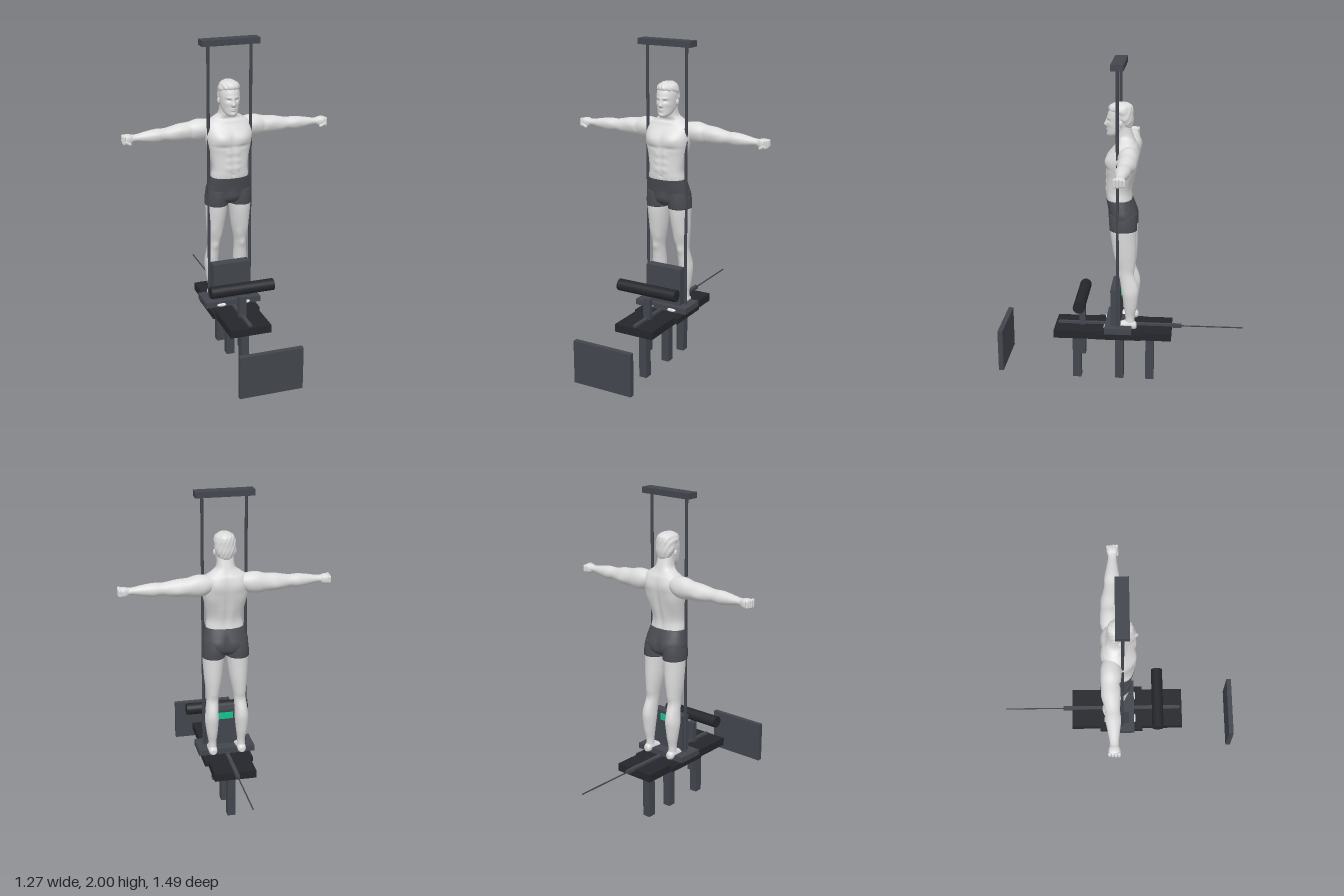
import * as THREE from 'three';

const mat = (name, color) => Object.assign(new THREE.MeshStandardMaterial({ color }), { name });

// Smooth interpolation through rows of numbers
function resample(rows, sub) {
  const out = [];
  const at = i => rows[Math.max(0, Math.min(rows.length - 1, i))];
  for (let i = 0; i < rows.length - 1; i++) {
    const [a, b, c, d] = [at(i - 1), at(i), at(i + 1), at(i + 2)];
    for (let s = 0; s < sub; s++) {
      const t = s / sub;
      out.push(b.map((v, k) => v + 0.5 * t * (c[k] - a[k] + t * (2 * a[k] - 5 * v + 4 * c[k] - d[k] + t * (3 * (v - c[k]) + d[k] - a[k])))));
    }
  }
  out.push(at(rows.length - 1));
  return out;
}

// Closed loft: rows are [along, centre u, centre z, radius u, radius z]
function loft(rows, { axis = 'y', n = 32, sub = 6, power = 2, bumps = [] } = {}) {
  const rings = resample(rows, sub), pos = [], idx = [];
  const put = (t, u, v) => axis === 'y' ? pos.push(u, t, v) : pos.push(t, u, v);
  const bend = v => Math.sign(v) * Math.abs(v) ** (2 / power);
  for (const [t, u, v, ru, rv] of rings) {
    for (let i = 0; i < n; i++) {
      const a = i / n * Math.PI * 2, s = bend(Math.sin(a)), c = bend(Math.cos(a));
      put(t, u + ru * s * (axis === 'y' ? 1 : -1), v + rv * c);
    }
  }
  const last = rings.length - 1;
  for (const e of [rings[0], rings[last]]) put(e[0], e[1], e[2]);
  for (let i = 0; i < n; i++) {
    const j = (i + 1) % n;
    for (let r = 0; r < last; r++) {
      const p = r * n + i, q = r * n + j;
      idx.push(p, q, p + n, q, q + n, p + n);
    }
    idx.push((last + 1) * n, j, i, (last + 1) * n + 1, last * n + i, last * n + j);
  }
  const g = new THREE.BufferGeometry();
  g.setAttribute('position', new THREE.Float32BufferAttribute(pos, 3));
  g.setIndex(idx);
  g.computeVertexNormals();
  swell(g, bumps);
  return g;
}

// Muscle relief: [x, y, side of z, width, height, amount]
function swell(g, bumps) {
  const p = g.attributes.position, nm = g.attributes.normal;
  for (let i = 0; i < p.count; i++) {
    const x = p.getX(i), y = p.getY(i), nz = nm.getZ(i);
    let d = 0;
    for (const [bx, by, side, w, h, amt] of bumps) {
      d += amt * Math.max(0, nz * side) * Math.exp(-(((x - bx) / w) ** 2) - ((y - by) / h) ** 2);
    }
    p.setXYZ(i, x + nm.getX(i) * d, y + nm.getY(i) * d, p.getZ(i) + nz * d);
  }
  g.computeVertexNormals();
}

const both = list => list.flatMap(b => [b, [-b[0], ...b.slice(1)]]);

function mirrored(g) {
  const m = g.clone().scale(-1, 1, 1), a = m.index.array;
  for (let i = 0; i < a.length; i += 3) [a[i], a[i + 1]] = [a[i + 1], a[i]];
  m.computeVertexNormals();
  return m;
}

export function createModel() {
  const model = new THREE.Group();
  const skin = mat('paleSkin', 0xdcdcdc), cloth = mat('greyCloth', 0x4a4c52);
  const metal = mat('greyMetal', 0x42464d), dark = mat('darkPadding', 0x25262b), green = mat('greenDisplay', 0x10c48c);

  const add = (name, g, m, parent = model) => {
    const mesh = new THREE.Mesh(g, m);
    mesh.name = name;
    parent.add(mesh);
    return mesh;
  };
  const pair = (name, g, m, parent) => {
    add('left' + name, g, m, parent);
    add('right' + name, mirrored(g), m, parent);
  };
  // Box from its limits
  const box = (name, m, x0, x1, y0, y1, z0, z1) =>
    add(name, new THREE.BoxGeometry(x1 - x0, y1 - y0, z1 - z0).translate((x0 + x1) / 2, (y0 + y1) / 2, (z0 + z1) / 2), m);

  // Bench, legs and platform
  box('bench', dark, -0.127, 0.127, 0.31, 0.358, -0.31, 0.41);
  box('benchWing', dark, -0.15, 0.15, 0.318, 0.352, -0.125, 0.15);
  for (const z of [0.28, 0.015, -0.175]) box('benchLeg', metal, -0.025, 0.025, 0, 0.31, z - 0.026, z + 0.026);
  box('footPlatform', metal, -0.175, 0.175, 0.365, 0.4, -0.07, 0.095);
  box('uprightPanel', metal, -0.118, 0.118, 0.4, 0.63, 0, 0.06);
  box('display', green, -0.05, 0.05, 0.572, 0.612, -0.008, 0);

  // Central rail with its thin cable
  box('rail', metal, -0.011, 0.011, 0.35, 0.371, -0.37, 0.395);
  box('cable', metal, -0.003, 0.003, 0.357, 0.363, -0.747, -0.37);

  // Roller on its post, and the front plate
  box('rollerPost', metal, -0.022, 0.022, 0.16, 0.49, 0.225, 0.26);
  add('roller', new THREE.CylinderGeometry(0.036, 0.036, 0.394, 32).rotateZ(Math.PI / 2).translate(0, 0.541, 0.243), dark);
  box('frontPlate', metal, -0.19, 0.19, 0.108, 0.366, 0.715, 0.745);

  // Overhead bar on two uprights
  box('topBar', metal, -0.174, 0.174, 1.965, 2, -0.024, 0.051);
  for (const x of [-0.13, 0.13]) {
    add('uprightRod', new THREE.CylinderGeometry(0.009, 0.009, 1.57, 16).translate(x, 1.185, 0.015), metal);
  }

  const figure = new THREE.Group();
  figure.name = 'figure';
  model.add(figure);

  // Torso and neck with chest, abdominal and back relief
  add('torso', loft([
    [1.1, 0, -0.01, 0.115, 0.07], [1.18, 0, 0.012, 0.114, 0.075], [1.24, 0, 0.016, 0.107, 0.075],
    [1.32, 0, 0.005, 0.12, 0.083], [1.4, 0, -0.003, 0.138, 0.094], [1.45, 0, -0.013, 0.142, 0.091],
    [1.5, 0, -0.027, 0.13, 0.07], [1.53, 0, -0.03, 0.092, 0.052], [1.56, 0, -0.02, 0.056, 0.05],
    [1.62, 0, -0.005, 0.05, 0.046],
  ], {
    n: 72, sub: 10, power: 2.3, bumps: [
      ...both([
        [0.062, 1.42, 1, 0.045, 0.035, 0.012], [0.06, 1.375, 1, 0.05, 0.01, -0.005],
        ...[1.335, 1.29, 1.245].map(y => [0.024, y, 1, 0.019, 0.018, 0.006]),
        [0.07, 1.46, -1, 0.04, 0.04, 0.008], [0.09, 1.37, -1, 0.04, 0.06, 0.008],
        [0.03, 1.26, -1, 0.02, 0.08, 0.005], [0.04, 1.515, 1, 0.05, 0.008, 0.005],
      ]),
      [0, 1.4, 1, 0.008, 0.06, -0.006], [0, 1.29, 1, 0.007, 0.08, -0.004], [0, 1.36, -1, 0.012, 0.14, -0.008],
      [0, 1.205, 1, 0.008, 0.008, -0.006],
    ],
  }), skin, figure);

  // Head with face relief
  add('head', loft([
    [1.555, 0, 0.056, 0.02, 0.02], [1.572, 0, 0.038, 0.039, 0.045], [1.6, 0, 0.016, 0.051, 0.068],
    [1.64, 0, 0.01, 0.057, 0.076], [1.68, 0, 0.007, 0.06, 0.076], [1.71, 0, 0.003, 0.057, 0.07],
    [1.735, 0, 0, 0.045, 0.055], [1.748, 0, 0, 0.02, 0.025],
  ], {
    n: 72, sub: 10, bumps: [
      [0, 1.626, 1, 0.011, 0.012, 0.015], [0, 1.645, 1, 0.008, 0.02, 0.009],
      [0, 1.602, 1, 0.018, 0.004, 0.006], [0, 1.593, 1, 0.014, 0.004, 0.006], [0, 1.568, 1, 0.016, 0.01, 0.006],
      ...both([[0.024, 1.652, 1, 0.013, 0.008, -0.009], [0.024, 1.667, 1, 0.016, 0.006, 0.004], [0.038, 1.63, 1, 0.012, 0.012, 0.003]]),
    ],
  }), skin, figure);

  // Swept hair with combed waves
  const hair = loft([
    [1.615, 0, -0.032, 0.042, 0.03], [1.65, 0, -0.022, 0.059, 0.047], [1.69, 0, -0.01, 0.063, 0.058],
    [1.715, 0, 0.003, 0.062, 0.071], [1.738, 0, 0.004, 0.052, 0.065], [1.754, 0, 0.002, 0.028, 0.04],
  ], { n: 64, sub: 8 });
  const hp = hair.attributes.position;
  for (let i = 0; i < hp.count; i++) {
    const k = 1 + 0.025 * Math.sin(hp.getX(i) * 260 + hp.getY(i) * 120);
    hp.setX(i, hp.getX(i) * k);
    hp.setZ(i, hp.getZ(i) * k);
  }
  hair.computeVertexNormals();
  add('hair', hair, skin, figure);
  pair('Ear', new THREE.SphereGeometry(1, 12, 10).scale(0.008, 0.019, 0.012).translate(0.062, 1.64, 0), skin, figure);

  // Arms held out to the sides
  pair('Arm', loft([
    [0.08, 1.47, -0.045, 0.04, 0.045], [0.13, 1.462, -0.05, 0.06, 0.056], [0.18, 1.46, -0.052, 0.064, 0.056],
    [0.23, 1.457, -0.052, 0.054, 0.053], [0.29, 1.455, -0.05, 0.051, 0.05], [0.34, 1.452, -0.045, 0.044, 0.045],
    [0.38, 1.452, -0.042, 0.037, 0.041], [0.43, 1.45, -0.04, 0.04, 0.042], [0.49, 1.45, -0.037, 0.032, 0.034],
    [0.55, 1.45, -0.035, 0.021, 0.025], [0.585, 1.448, -0.035, 0.024, 0.027],
  ], {
    axis: 'x', bumps: [[0.17, 1.475, 1, 0.04, 0.03, 0.006], [0.28, 1.475, 1, 0.04, 0.02, 0.005],
      [0.225, 1.45, 1, 0.012, 0.04, -0.006], [0.29, 1.44, -1, 0.04, 0.02, 0.006], [0.43, 1.465, 1, 0.04, 0.015, 0.004]],
  }), skin, figure);

  // Closed fists
  pair('Fist', loft([
    [0.57, 1.448, -0.035, 0.02, 0.023], [0.59, 1.447, -0.035, 0.028, 0.031], [0.61, 1.446, -0.035, 0.029, 0.033],
    [0.624, 1.446, -0.035, 0.024, 0.029],
  ], { axis: 'x', n: 24, sub: 3, power: 2.8 }), skin, figure);
  for (let i = 0; i < 4; i++) {
    pair('Finger', new THREE.CapsuleGeometry(0.0095, 0.036 - i * 0.003, 4, 10)
      .translate(0.625 - Math.abs(i - 1) * 0.002, 1.447, -0.009 - i * 0.0172), skin, figure);
  }
  pair('Thumb', new THREE.CapsuleGeometry(0.01, 0.03, 4, 10).rotateZ(-1.1).translate(0.605, 1.43, -0.008), skin, figure);

  // Legs
  const legRows = [
    [0.39, 0.09, -0.058, 0.027, 0.03], [0.45, 0.09, -0.057, 0.024, 0.028], [0.52, 0.092, -0.06, 0.034, 0.039],
    [0.6, 0.093, -0.057, 0.042, 0.048], [0.66, 0.09, -0.05, 0.039, 0.05], [0.73, 0.085, -0.037, 0.036, 0.047],
    [0.78, 0.082, -0.033, 0.041, 0.054], [0.86, 0.078, -0.025, 0.053, 0.067], [0.95, 0.075, -0.017, 0.062, 0.075],
    [1.02, 0.073, -0.014, 0.067, 0.078], [1.09, 0.07, -0.01, 0.067, 0.078],
  ];
  pair('Leg', loft(legRows, {
    bumps: [[0.085, 0.735, 1, 0.022, 0.025, 0.008], [0.058, 0.8, 1, 0.02, 0.035, 0.007], [0.11, 0.83, 1, 0.02, 0.05, 0.006],
      [0.075, 0.62, -1, 0.02, 0.05, 0.006], [0.112, 0.63, -1, 0.018, 0.045, 0.005], [0.085, 0.72, -1, 0.02, 0.03, -0.005]],
  }), skin, figure);

  // Feet, lofted from heel to toe
  pair('Foot', loft([
    [-0.098, 0.09, -0.392, 0.015, 0.014], [-0.085, 0.09, -0.396, 0.025, 0.026], [-0.05, 0.09, -0.402, 0.028, 0.032],
    [0, 0.086, -0.393, 0.03, 0.024], [0.06, 0.08, -0.383, 0.034, 0.015], [0.09, 0.078, -0.379, 0.032, 0.011],
    [0.104, 0.077, -0.376, 0.022, 0.006],
  ]).rotateX(Math.PI / 2), skin, figure);

  // Shorts: hips and two short legs
  add('shortsHips', loft([
    [1.015, 0, -0.008, 0.06, 0.05], [1.045, 0, -0.012, 0.125, 0.078], [1.09, 0, -0.01, 0.139, 0.083],
    [1.14, 0, 0, 0.13, 0.083], [1.183, 0, 0.012, 0.119, 0.079],
  ], {
    n: 64, sub: 8, power: 2.2, bumps: [[0, 1.07, 1, 0.03, 0.035, 0.01], [0, 1.08, -1, 0.012, 0.06, -0.012],
      ...both([[0.06, 1.085, -1, 0.045, 0.04, 0.008]])],
  }), cloth, figure);
  pair('ShortsLeg', loft([[1.003, 0.0735, -0.015, 0.07, 0.081], [1.05, 0.072, -0.013, 0.07, 0.083],
    [1.1, 0.069, -0.01, 0.067, 0.078]]), cloth, figure);

  return model;
}
